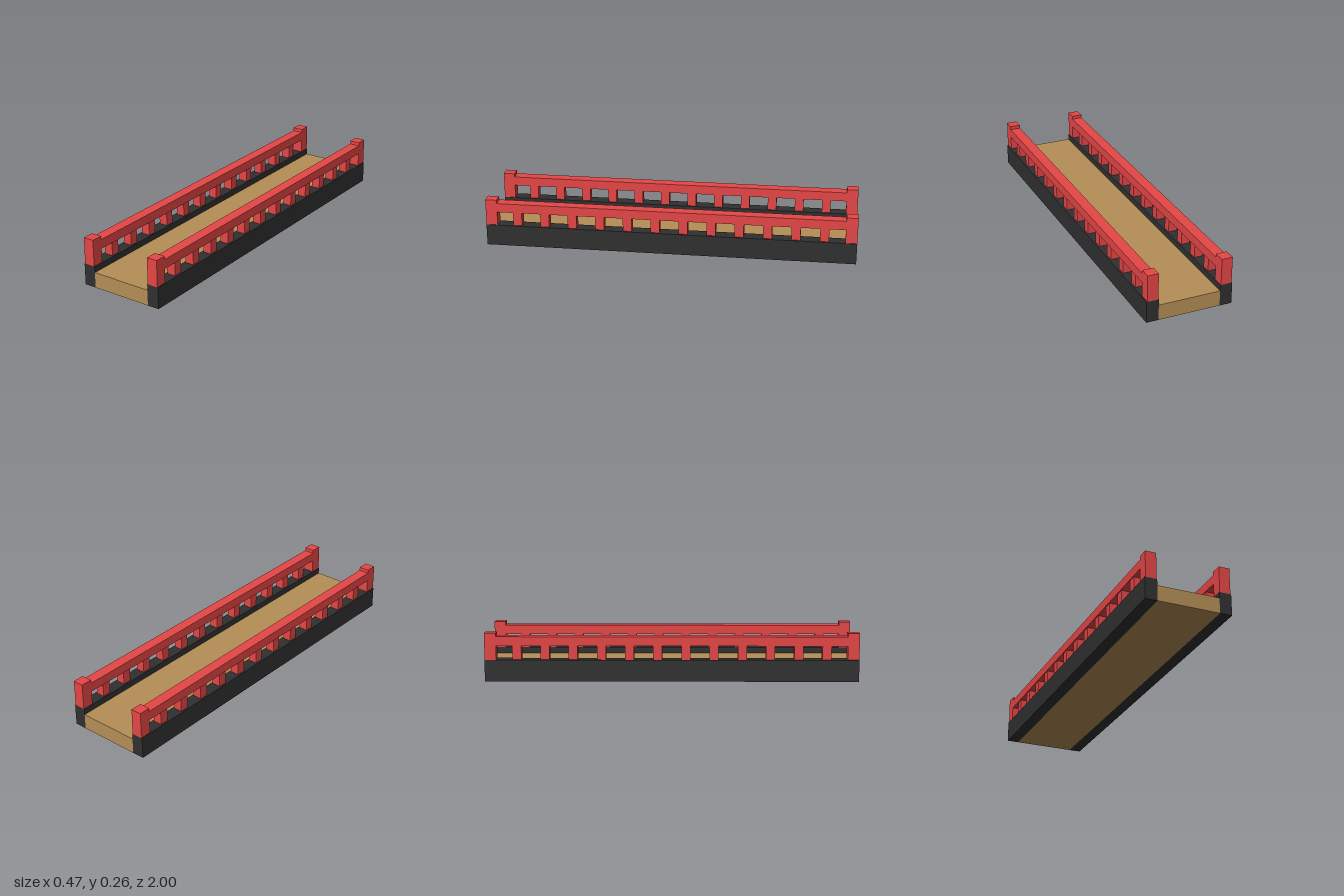
import * as THREE from 'three';

export function createModel() {
  const model = new THREE.Group();
  model.name = 'footbridge';

  const paint = (name, color) => {
    const material = new THREE.MeshStandardMaterial({ color });
    material.name = name;
    return material;
  };
  const wood = paint('tan wood', 0xb58f56);
  const stone = paint('dark stone', 0x303030);
  const red = paint('red paint', 0xe64646);

  // Box resting on height y0 and reaching y1
  const box = (parent, name, material, width, y0, y1, depth, x = 0, z = 0) => {
    const mesh = new THREE.Mesh(new THREE.BoxGeometry(width, y1 - y0, depth), material);
    mesh.position.set(x, (y0 + y1) / 2, z);
    mesh.name = name;
    parent.add(mesh);
  };

  // Walkway between the two side beams
  box(model, 'deck', wood, 0.335, 0, 0.084, 2);

  for (const [side, sign] of [['left', 1], ['right', -1]]) {
    const railing = new THREE.Group();
    railing.name = `${side}Railing`;
    model.add(railing);
    const x = sign * 0.2;

    // Side beam and handrail
    box(railing, 'sideBeam', stone, 0.066, 0, 0.117, 2, sign * 0.2005);
    box(railing, 'handrail', red, 0.059, 0.192, 0.242, 1.876, x);

    // End posts
    for (const end of [1, -1]) {
      box(railing, 'endPost', red, 0.059, 0.117, 0.261, 0.062, x, end * 0.969);
    }

    // Twelve evenly spaced balusters
    for (let i = 0; i < 12; i++) {
      box(railing, 'baluster', red, 0.048, 0.117, 0.192, 0.048, x, (i - 5.5) * 0.1505);
    }
  }
  return model;
}
